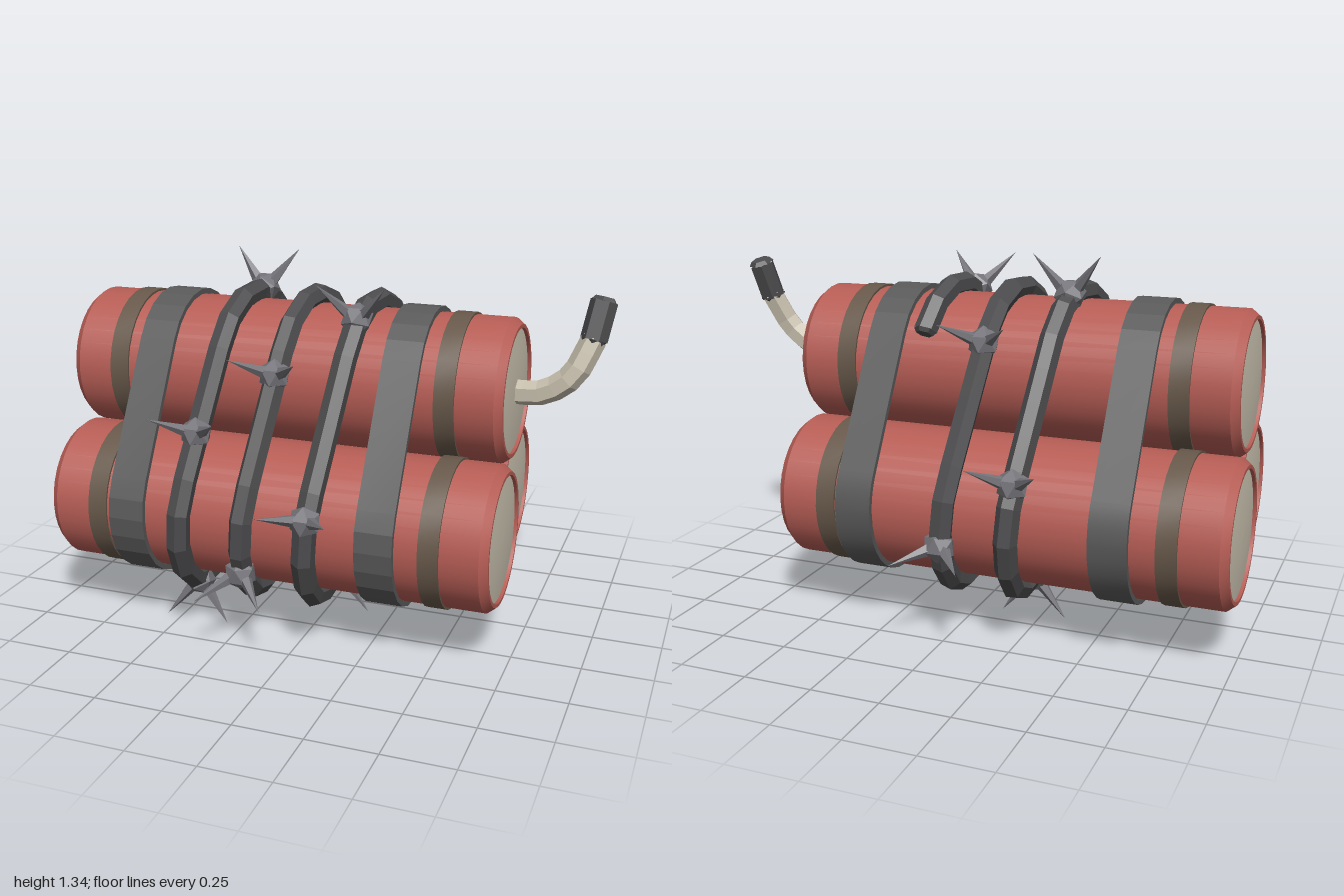
import * as THREE from 'three';
import { toCreasedNormals } from 'three/addons/utils/BufferGeometryUtils.js';

const mat = (name, color) => Object.assign(new THREE.MeshStandardMaterial({ color }), { name });
const V = (x, y, z) => new THREE.Vector3(x, y, z);
const LOW = { z: 0.265, y: 0.457 }, HIGH = 0.914; // stick centres
const R = 0.26, HALF = 0.82;

// Rounded triangle around the three sticks, drawn in (z, y), starting at the front
function loop(radius, target = new THREE.Path()) {
  const deg = Math.PI / 180;
  target.absarc(LOW.z, LOW.y, radius, 0, 30 * deg);
  target.absarc(0, HIGH, radius, 30 * deg, 150 * deg);
  target.absarc(-LOW.z, LOW.y, radius, 150 * deg, 270 * deg);
  target.absarc(LOW.z, LOW.y, radius, 270 * deg, 360 * deg);
  return target;
}

// Wire that winds around the sticks while moving along x; u counts turns
const wireLoop = loop(0.29);
const wirePoint = (u) => {
  const p = wireLoop.getPointAt(((u % 1) + 1) % 1);
  return V(-0.395 + 0.237 * u, p.y, p.x);
};
const wireNormal = (u) => {
  const t = wireLoop.getTangentAt(((u % 1) + 1) % 1);
  return V(0, -t.x, t.y);
};
class WireCurve extends THREE.Curve {
  getPoint(t, target = V(0, 0, 0)) {
    return target.copy(wirePoint(-0.2 + 2.575 * t));
  }
}

export function createModel() {
  const red = mat('red paper', 0xb65d55);
  const cream = mat('cream', 0xc8c0ae);
  const brown = mat('brown band', 0x67584a);
  const grey = mat('strap grey', 0x5a5a5a);
  const dark = mat('dark wire', 0x4d4d4f);
  const steel = mat('spike steel', 0x74747a);

  const model = new THREE.Group();
  const add = (parent, name, geometry, material) => {
    const m = new THREE.Mesh(geometry, material);
    m.name = name;
    parent.add(m);
    return m;
  };
  const flat = (geometry) => {
    const g = geometry.index ? geometry.toNonIndexed() : geometry;
    g.computeVertexNormals();
    return g;
  };
  const lathe = (points) =>
    new THREE.LatheGeometry(points.map(([x, y]) => new THREE.Vector2(x, y)), 32).rotateZ(-Math.PI / 2);

  // Sticks with bevelled rims, slightly domed ends and two paper bands each
  const body = toCreasedNormals(lathe([
    [0.225, -HALF + 0.012], [0.225, -HALF], [0.238, -HALF], [R, -HALF + 0.028],
    [R, HALF - 0.028], [0.238, HALF], [0.225, HALF], [0.225, HALF - 0.012],
  ]), 0.45);
  const cap = lathe([[0.225, HALF - 0.012], [0.15, HALF - 0.005], [0.075, HALF - 0.001], [0, HALF]]);
  const band = toCreasedNormals(lathe([
    [R - 0.005, -0.036], [0.268, -0.036], [0.268, 0.036], [R - 0.005, 0.036],
  ]), 0.45);
  const sticks = [
    ['topStick', -0.14, HIGH, 0],
    ['frontStick', -0.11, LOW.y, LOW.z],
    ['backStick', -0.18, LOW.y, -LOW.z],
  ];
  for (const [name, x, y, z] of sticks) {
    const stick = new THREE.Group();
    stick.name = name;
    stick.position.set(x, y, z);
    model.add(stick);
    add(stick, 'stickBody', body, red);
    for (const s of [1, -1]) {
      add(stick, 'endCap', cap, cream).rotation.y = s > 0 ? 0 : Math.PI;
      add(stick, 'paperBand', band, brown).position.x = s * 0.62;
    }
  }

  // Two wide straps around the bundle
  const ring = loop(0.281, new THREE.Shape());
  ring.holes.push(loop(0.262));
  const strap = toCreasedNormals(
    new THREE.ExtrudeGeometry(ring, { depth: 0.135, bevelEnabled: false, curveSegments: 4 })
      .translate(0, 0, -0.0675).rotateY(Math.PI / 2), 0.2);
  for (const x of [-0.607, 0.323]) add(model, 'strap', strap, grey).position.x = x;

  // Six-sided tube with closed ends
  const hexTube = (name, curve, segments, radius, material) => {
    add(model, name, flat(new THREE.TubeGeometry(curve, segments, radius, 6)), material);
    for (const t of [0, 1]) {
      const p = curve.getPointAt(t), d = curve.getTangentAt(t).multiplyScalar(t ? 1 : -1);
      const end = add(model, name + 'End',
        flat(new THREE.CylinderGeometry(radius * 0.75, radius, 0.015, 6)), material);
      end.position.copy(p).addScaledVector(d, 0.007);
      end.quaternion.setFromUnitVectors(V(0, 1, 0), d);
    }
  };
  hexTube('wire', new WireCurve(), 72, 0.042, dark);

  // Barbs: a faceted knob with two spikes splayed along x
  const knob = new THREE.IcosahedronGeometry(0.06, 0);
  const spike = flat(new THREE.ConeGeometry(0.027, 0.18, 5).translate(0, 0.115, 0));
  for (let i = 0; i < 12; i++) {
    const u = -0.113 + 0.2139 * i, n = wireNormal(u);
    const barb = new THREE.Group();
    barb.name = 'barb';
    barb.position.copy(wirePoint(u));
    barb.quaternion.setFromUnitVectors(V(0, 1, 0), V(0, n.y, n.z).normalize());
    // Keep x along the bundle so that the spikes spread sideways
    barb.quaternion.setFromAxisAngle(V(1, 0, 0), Math.atan2(n.z, n.y));
    model.add(barb);
    add(barb, 'knob', knob, steel).position.y = 0.012;
    for (const s of [1, -1]) add(barb, 'spike', spike, steel).rotation.z = s * 0.65;
  }

  // Curved fuse with a burnt tip
  const fuse = new THREE.CatmullRomCurve3([
    V(0.65, 0.912, 0), V(0.77, 0.922, 0.012), V(0.87, 0.99, 0.015), V(0.932, 1.12, -0.02),
  ]);
  hexTube('fuse', fuse, 7, 0.045, cream);
  const tip = new THREE.LineCurve3(V(0.931, 1.115, -0.018), V(0.953, 1.245, -0.057));
  hexTube('fuseTip', tip, 1, 0.048, dark);

  return model;
}
